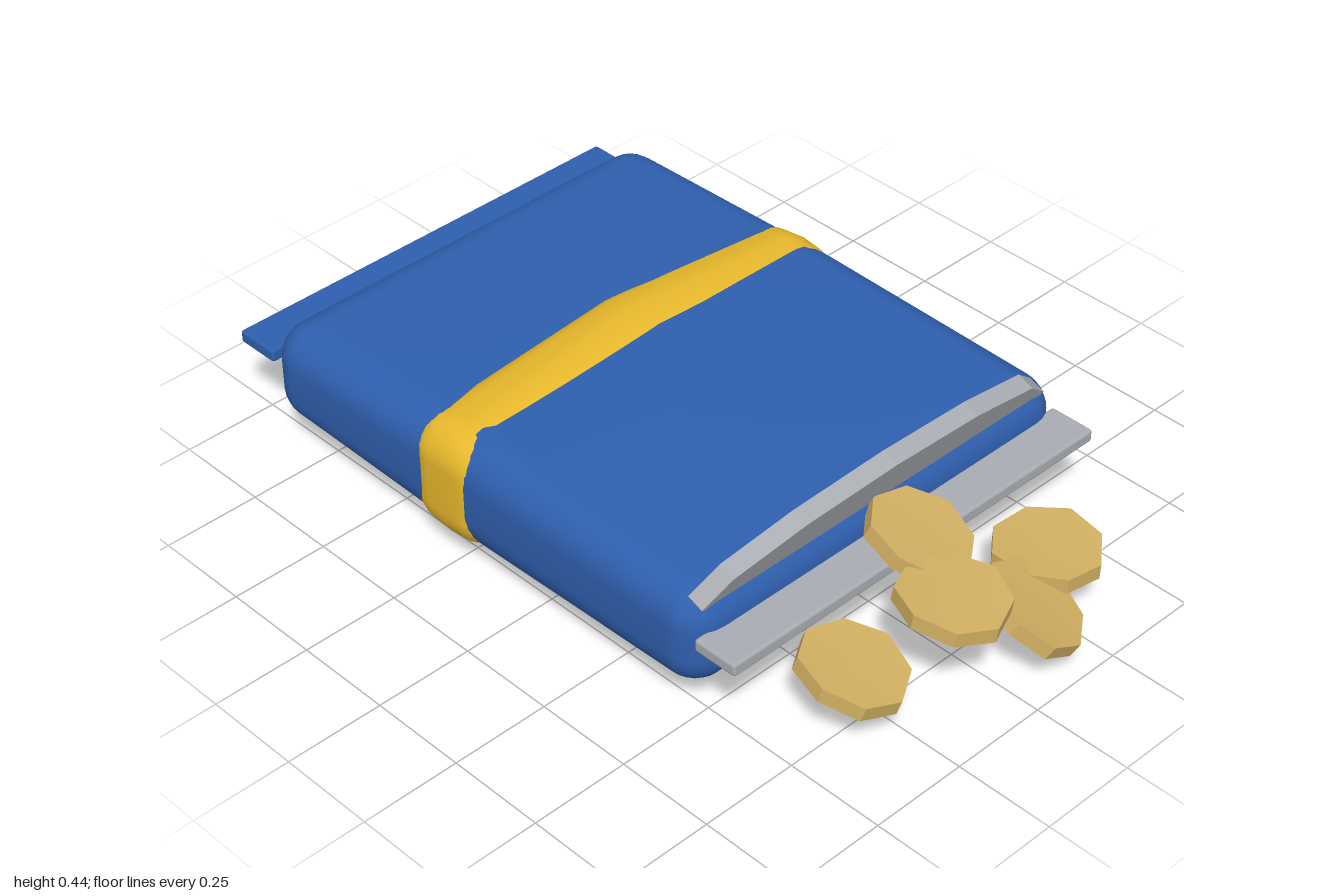
import * as THREE from 'three';
import { mergeVertices, toCreasedNormals } from 'three/addons/utils/BufferGeometryUtils.js';
import { RoundedBoxGeometry } from 'three/addons/geometries/RoundedBoxGeometry.js';

const paint = (color) => new THREE.MeshStandardMaterial({ color });

function add(parent, name, geometry, material, x, y, z) {
  const mesh = new THREE.Mesh(geometry, material);
  mesh.name = name;
  mesh.position.set(x, y, z);
  parent.add(mesh);
  return mesh;
}

// Rounded pillow: a core box (half sizes cx, cy, cz) padded by radius r, with one
// middle row each way that is swollen in height by the given factors.
function pillow(cx, cy, cz, r, swell) {
  const geo = new THREE.BoxGeometry(8, 8, 8, 8, 8, 8);
  geo.deleteAttribute('uv');
  geo.deleteAttribute('normal');
  const pos = geo.attributes.position;
  const bend = (i) => Math.sign(i) * Math.tan(Math.max(0, Math.abs(i) - 1) / 3 * Math.PI / 4);
  const dir = new THREE.Vector3();
  for (let n = 0; n < pos.count; n++) {
    const [i, j, k] = [pos.getX(n), pos.getY(n), pos.getZ(n)].map(Math.round);
    dir.set(bend(i), bend(j), bend(k)).normalize().multiplyScalar(r);
    let grow = 1;
    if (i === 0 && k === 0) grow += swell.centre;
    else if (i === 0) grow += swell.ends;
    else if (k === 0) grow += swell.sides;
    pos.setXYZ(n,
      Math.sign(i) * cx + dir.x,
      (Math.sign(j) * cy + dir.y) * grow,
      Math.sign(k) * cz + dir.z);
  }
  const merged = mergeVertices(geo, 1e-5);
  merged.computeVertexNormals();
  return merged;
}

// Eight-sided chip, slightly saddle shaped
function chipGeometry() {
  const geo = new THREE.CylinderGeometry(0.13, 0.13, 0.038, 8);
  const pos = geo.attributes.position;
  for (let n = 0; n < pos.count; n++) {
    const x = pos.getX(n), z = pos.getZ(n);
    pos.setY(n, pos.getY(n) + 0.4 * (x * x - z * z));
  }
  return toCreasedNormals(geo, 0.6);
}

export function createModel() {
  const bag = new THREE.Group();
  bag.name = 'snackBag';
  const blue = paint(0x2f5fae), yellow = paint(0xe8b92c);
  const silver = paint(0xa9acb2), gold = paint(0xd2b062);

  // Bag and the band around it
  add(bag, 'bagBody', pillow(0.495, 0.04, 0.625, 0.09,
    { centre: 0.44, ends: 0, sides: 0.14 }), blue, 0, 0.215, -0.17);
  add(bag, 'bagBand', pillow(0.5, 0.06, 0.045, 0.09,
    { centre: 0.4, ends: 0.31, sides: 0.05 }), yellow, 0, 0.211, -0.26);

  // Crimped seals at both ends
  add(bag, 'backSeal', new RoundedBoxGeometry(1.14, 0.034, 0.12, 2, 0.008), blue, 0, 0.242, -0.94);
  add(bag, 'frontSeal', new RoundedBoxGeometry(1.14, 0.034, 0.12, 2, 0.008), silver, 0, 0.242, 0.588);

  // Torn flap leaning over the opening
  const half = [[0.51, 0], [0.54, 0.02], [0.47, 0.083], [0.27, 0.125]];
  const outline = [...half, [0, 0.14], ...half.map(([x, y]) => [-x, y]).reverse()];
  const flapShape = new THREE.Shape(outline.map(([x, y]) => new THREE.Vector2(x, y)));
  const flapGeo = new THREE.ExtrudeGeometry(flapShape, { depth: 0.045, bevelEnabled: false });
  const flap = add(bag, 'tornFlap', flapGeo, silver, 0, 0.311, 0.473);
  flap.rotation.x = 0.37;

  // Spilled chips: position, then tilt about x, turn about y, tilt about z
  const chips = new THREE.Group();
  chips.name = 'chips';
  bag.add(chips);
  const geo = chipGeometry();
  [
    [-0.31, 0.147, 0.74, 0.26, 0.15, -0.17],
    [-0.09, 0.258, 0.82, 0.11, 0, -0.08],
    [0, 0.272, 0.64, 0.36, 0.25, -0.22],
    [0.115, 0.145, 0.875, 0.45, 0.2, -0.38],
    [0.28, 0.148, 0.77, 0.03, 0.3, -0.02],
  ].forEach(([x, y, z, rx, ry, rz], n) => {
    const chip = add(chips, `chip${n + 1}`, geo, gold, x, y, z);
    chip.rotation.set(rx, ry, rz, 'XZY');
  });

  return bag;
}
